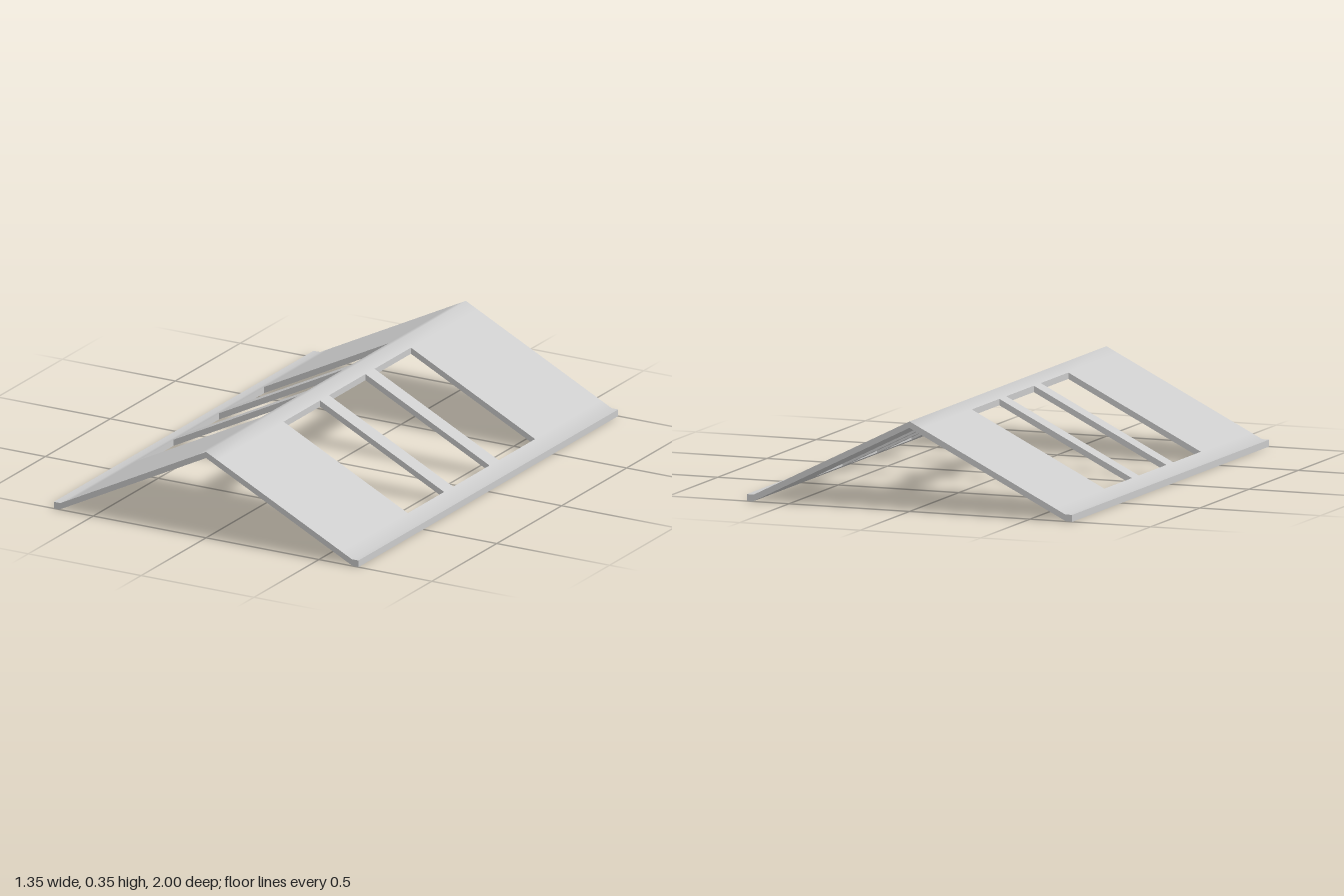
import * as THREE from 'three';
import { toCreasedNormals } from 'three/addons/utils/BufferGeometryUtils.js';

// Roof section: two slopes meeting at a ridge, levelling out into flat eaves
const topY = x => Math.max(0.35 - 0.5 * Math.abs(x), 0.027);
const bottomY = x => Math.max(0.325 - 0.5 * Math.abs(x), 0);

// Stations across the half width and along the length
const half = [0.05, 0.6, 0.646, 0.65, 0.675];
const xs = [...half.map(x => -x).reverse(), 0, ...half];
const zs = [-1, -0.49, -0.21, -0.14, 0.14, 0.21, 0.49, 1];

// A cell is solid unless it lies in one of the six skylight openings
function isSolid(i, j) {
  if (i < 0 || j < 0 || i >= xs.length - 1 || j >= zs.length - 1) return false;
  const midX = Math.abs(xs[i] + xs[i + 1]) / 2;
  const inOpeningX = midX > 0.05 && midX < 0.6;
  const inOpeningZ = j === 1 || j === 3 || j === 5;
  return !(inOpeningX && inOpeningZ);
}

function roofGeometry() {
  const positions = [];
  const quad = (a, b, c, d) => positions.push(...a, ...b, ...c, ...a, ...c, ...d);
  const top = ([x, z]) => [x, topY(x), z];
  const bottom = ([x, z]) => [x, bottomY(x), z];

  for (let i = 0; i < xs.length - 1; i++) {
    for (let j = 0; j < zs.length - 1; j++) {
      if (!isSolid(i, j)) continue;
      const corners = [
        [xs[i], zs[j]], [xs[i], zs[j + 1]],
        [xs[i + 1], zs[j + 1]], [xs[i + 1], zs[j]],
      ];
      // Upper and lower skins
      quad(...corners.map(top));
      quad(...corners.map(bottom).reverse());
      // Vertical walls wherever the neighbouring cell is open
      const neighbours = [[i - 1, j], [i, j + 1], [i + 1, j], [i, j - 1]];
      neighbours.forEach(([ni, nj], k) => {
        if (isSolid(ni, nj)) return;
        const p = corners[k], q = corners[(k + 1) % 4];
        quad(top(p), bottom(p), bottom(q), top(q));
      });
    }
  }
  const geometry = new THREE.BufferGeometry();
  geometry.setAttribute('position', new THREE.Float32BufferAttribute(positions, 3));
  // Soft ridge and eave bends, sharp opening edges
  return toCreasedNormals(geometry, 1.0);
}

export function createModel() {
  const model = new THREE.Group();
  model.name = 'gableRoof';
  const roof = new THREE.Mesh(roofGeometry(), new THREE.MeshStandardMaterial({ color: 0xcccccc }));
  roof.name = 'roofWithSkylightOpenings';
  model.add(roof);
  return model;
}
